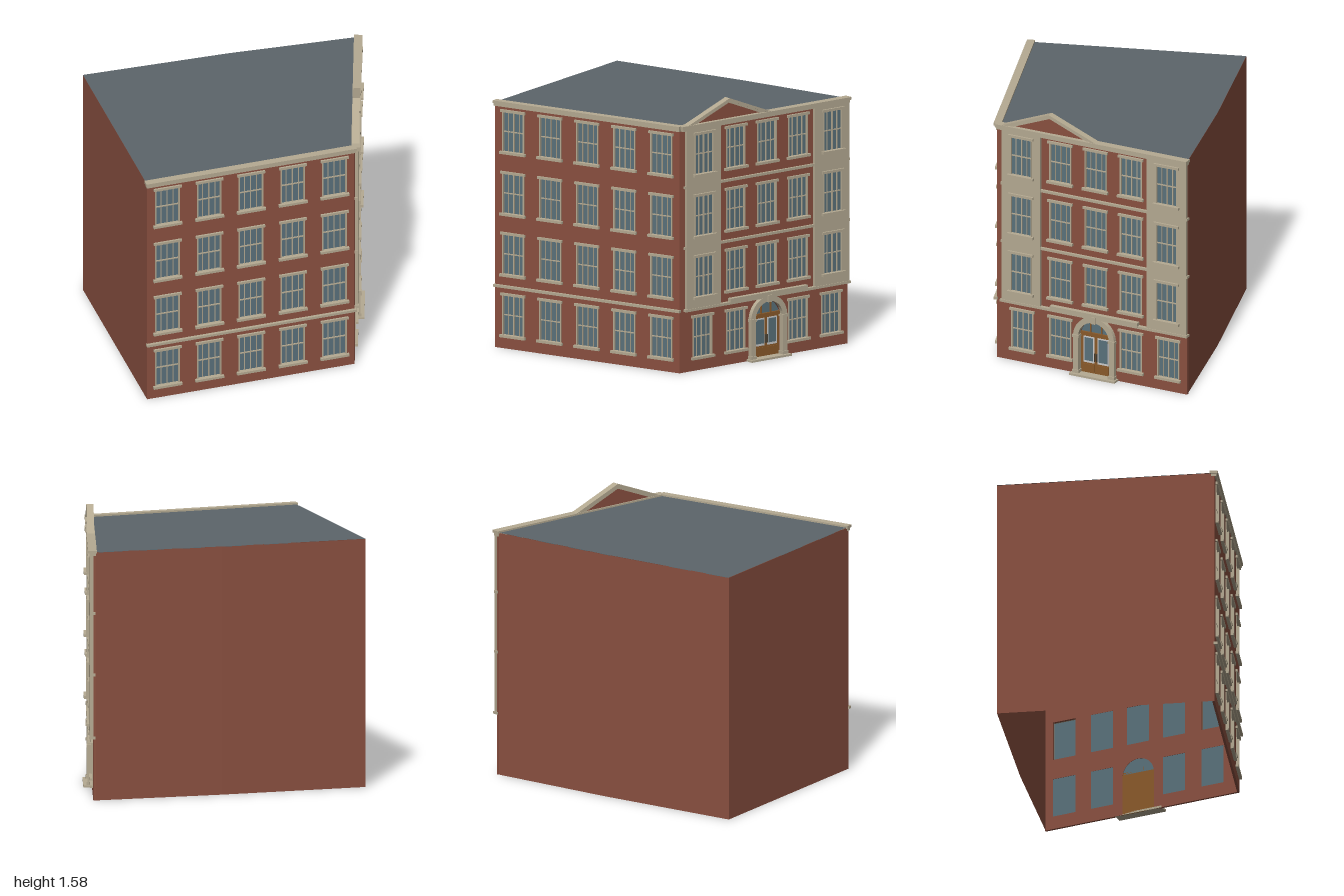
import * as THREE from 'three';

const mat = (color, side = THREE.FrontSide) => new THREE.MeshStandardMaterial({ color, side });
const brick = mat(0x8a5040, THREE.DoubleSide);
const stone = mat(0xb5aa92);
const glass = mat(0x5a717b, THREE.DoubleSide);
const slate = mat(0x5c656a, THREE.DoubleSide);
const wood = mat(0x8a5a2a, THREE.DoubleSide);
const paint = mat(0xd5d8d6);
const iron = mat(0x4a4234);

const TOP = 1.45;
const FLOORS = [0.08, 0.44, 0.8, 1.165];   // window sill heights
const WIN_H = 0.237;

// footprint corners as [x, z]
const A = [-0.99, 0.367], B = [0.195, 0.795], C = [0.97, -0.17], D = [0.27, -0.488], E = [-0.535, -0.815];

function add(parent, name, geometry, material) {
  const mesh = new THREE.Mesh(geometry, material);
  mesh.name = name;
  parent.add(mesh);
  return mesh;
}

// box given by its limits along the wall (u), in height (y) and outward (o)
function box(parent, name, material, u0, u1, y0, y1, o0, o1) {
  const m = add(parent, name, new THREE.BoxGeometry(u1 - u0, y1 - y0, o1 - o0), material);
  m.position.set((u0 + u1) / 2, (y0 + y1) / 2, (o0 + o1) / 2);
  return m;
}

// group whose x runs along the wall from p to q and whose z points outward
function wallFrame(name, p, q) {
  const g = new THREE.Group();
  g.name = name;
  g.position.set(p[0], 0, p[1]);
  g.rotation.y = Math.atan2(p[1] - q[1], q[0] - p[0]);
  g.userData.length = Math.hypot(q[0] - p[0], q[1] - p[1]);
  return g;
}

function rectPath(u0, u1, y0, y1) {
  return new THREE.Path([[u0, y0], [u1, y0], [u1, y1], [u0, y1]].map(p => new THREE.Vector2(...p)));
}

function slab(parent, name, shape, material, o0, o1) {
  const m = add(parent, name, new THREE.ExtrudeGeometry(shape, { depth: o1 - o0, bevelEnabled: false, curveSegments: 12 }), material);
  m.position.z = o0;
  return m;
}

// round-headed opening, traced from the left foot over the arch to the right foot
function archOutline(path, cu, r, spring) {
  path.lineTo(cu - r, 0);
  path.lineTo(cu - r, spring);
  path.absarc(cu, spring, r, Math.PI, 0, true);
  path.lineTo(cu + r, 0);
}

// one window: glass, jambs, glazing bars, lintel and sill
function makeWindow(parent, { u, y, w, o }) {
  const g = new THREE.Group();
  g.name = 'window';
  g.position.set(u, y, o);
  parent.add(g);
  const h = WIN_H, a = w / 2;
  add(g, 'windowGlass', new THREE.PlaneGeometry(w, h), glass).position.set(0, h / 2, -0.012);
  for (const s of [-1, 1]) {
    const e = s * (a - 0.003), b = s * a * 0.5;
    box(g, 'windowJamb', stone, e - 0.004, e + 0.004, 0, h, -0.011, 0.004);
    box(g, 'glazingBar', stone, b - 0.002, b + 0.002, 0, h, -0.011, -0.005);
  }
  box(g, 'windowMullion', stone, -0.003, 0.003, 0, h, -0.011, -0.004);
  box(g, 'windowRail', stone, -a, a, h / 2 - 0.003, h / 2 + 0.003, -0.011, -0.004);
  box(g, 'windowLintel', stone, -a - 0.01, a + 0.01, h - 0.003, h + 0.012, -0.01, 0.012);
  box(g, 'windowSill', stone, -a - 0.013, a + 0.013, -0.013, 0.002, -0.01, 0.018);
}

// brick wall with window holes and, if wanted, a door opening
function facadeWall(g, windows, door) {
  const L = g.userData.length;
  const shape = new THREE.Shape();
  shape.moveTo(0, 0);
  if (door) archOutline(shape, door.u, door.r, door.spring);
  shape.lineTo(L, 0);
  shape.lineTo(L, TOP);
  shape.lineTo(0, TOP);
  for (const { u, y, w } of windows) shape.holes.push(rectPath(u - w / 2, u + w / 2, y, y + WIN_H));
  slab(g, 'brickWall', shape, brick, -0.014, 0);
  windows.forEach(w => makeWindow(g, w));
}

function makeLongFacade() {
  const g = wallFrame('longFacade', A, B), L = g.userData.length;
  const windows = [];
  for (const y of FLOORS) for (let i = 0; i < 5; i++) windows.push({ u: L / 2 + (i - 2) * 0.2533, y, w: 0.148, o: 0 });
  facadeWall(g, windows);
  box(g, 'stringCourse', stone, -0.005, L + 0.008, 0.36, 0.375, -0.005, 0.018);
  box(g, 'lowerCornice', stone, -0.004, L + 0.004, 1.43, 1.446, -0.02, 0.01);
  box(g, 'upperCornice', stone, -0.008, L + 0.008, 1.446, 1.462, -0.028, 0.018);
  return g;
}

function makeEntrance(g, { u, r, spring }) {
  const e = new THREE.Group();
  e.name = 'entrance';
  e.position.x = u;
  g.add(e);
  // stone arch surround
  const R = r + 0.033;
  const ring = new THREE.Shape();
  ring.moveTo(-R, 0);
  archOutline(ring, 0, r, spring);
  ring.lineTo(R, 0);
  ring.lineTo(R, spring);
  ring.absarc(0, spring, R, 0, Math.PI, false);
  slab(e, 'archSurround', ring, stone, -0.01, 0.026);
  for (const s of [-1, 1]) {
    const c = s * (r + 0.0165);
    box(e, 'impost', stone, c - 0.021, c + 0.021, spring - 0.008, spring + 0.008, -0.01, 0.032);
    box(e, 'plinth', stone, c - 0.021, c + 0.021, 0, 0.03, -0.01, 0.032);
  }
  box(e, 'keystone', stone, -0.014, 0.014, spring + r - 0.004, spring + R + 0.004, 0, 0.034);
  box(e, 'doorStep', stone, -R - 0.015, R + 0.015, 0, 0.012, -0.014, 0.05);
  // fanlight and double door
  const fan = new THREE.Shape();
  fan.moveTo(-r, spring);
  fan.absarc(0, spring, r, Math.PI, 0, true);
  add(e, 'fanlight', new THREE.ShapeGeometry(fan), glass).position.z = -0.012;
  for (const x of [-0.035, 0.035]) box(e, 'fanlightBar', wood, x - 0.003, x + 0.003, spring, spring + 0.09, -0.012, -0.004);
  box(e, 'doorPanel', wood, -r, r, 0, spring + 0.012, -0.014, -0.008);
  box(e, 'doorTransom', wood, -r, r, spring + 0.006, spring + 0.026, -0.012, 0);
  for (const s of [-1, 1]) {
    const c = s * 0.046;
    box(e, 'doorLeafFrame', paint, c - 0.036, c + 0.036, 0.075, 0.238, -0.01, -0.005);
    box(e, 'doorGlass', glass, c - 0.028, c + 0.028, 0.088, 0.23, -0.008, -0.003);
    box(e, 'doorKickPanel', wood, c - 0.034, c + 0.034, 0.02, 0.065, -0.01, -0.004);
    box(e, 'doorHandle', iron, s * 0.007 - 0.002, s * 0.007 + 0.002, 0.09, 0.14, -0.008, 0.004);
  }
  // plain panel above the door
  box(e, 'signPanel', stone, -0.285, 0.285, 0.365, 0.395, 0, 0.028);
}

function makePediment(g) {
  const p = new THREE.Group();
  p.name = 'pediment';
  p.position.set(0.35, 1.46, 0);
  g.add(p);
  const W = 0.31, H = 0.123;
  const tri = (w, h) => [new THREE.Vector2(-w, 0), new THREE.Vector2(w, 0), new THREE.Vector2(0, h)];
  slab(p, 'pedimentBrick', new THREE.Shape(tri(W - 0.02, H - 0.015)), brick, -0.012, 0.004);
  // two stepped raking mouldings
  for (const [w, t, o] of [[W - 0.02, 0.02, 0.016], [W, 0.014, 0.026]]) {
    const h = H * w / W, k = 1 - t / h;
    const rake = new THREE.Shape([[-w, 0], [-w * k, 0], [0, h * k], [w * k, 0], [w, 0], [0, h]].map(q => new THREE.Vector2(...q)));
    slab(p, 'rakingCornice', rake, stone, -0.016, o);
  }
}

function makeEntranceFacade() {
  const g = wallFrame('entranceFacade', B, C), L = g.userData.length;
  const columns = [0.167, 0.413, 0.643, 0.873, 1.115];
  const door = { u: 0.642, r: 0.1, spring: 0.24 };
  const windows = [];
  FLOORS.forEach((y, f) => columns.forEach((u, i) => {
    const onPier = f > 0 && (i === 0 || i === 4);
    if (f > 0 || i !== 2) windows.push({ u, y, w: 0.142, o: onPier ? 0.02 : 0 });
  }));
  facadeWall(g, windows, door);
  // stone piers around the outer upper windows
  for (const [u0, u1, c] of [[0.04, 0.29, columns[0]], [0.985, L + 0.002, columns[4]]]) {
    const pier = new THREE.Shape(rectPath(u0, u1, 0.365, 1.44).getPoints());
    for (const y of FLOORS.slice(1)) pier.holes.push(rectPath(c - 0.071, c + 0.071, y, y + WIN_H));
    slab(g, 'stonePier', pier, stone, 0, 0.02);
  }
  for (const y of [0.36, 0.727, 1.087]) box(g, 'stringCourse', stone, 0.03, L + 0.008, y, y + 0.015, -0.012, y < 0.4 ? 0.024 : 0.015);
  box(g, 'lowerCornice', stone, 0.01, L + 0.004, 1.43, 1.446, -0.016, 0.022);
  box(g, 'upperCornice', stone, 0, L + 0.008, 1.446, 1.462, -0.02, 0.03);
  makeEntrance(g, door);
  makePediment(g);
  return g;
}

export function createModel() {
  const model = new THREE.Group();
  model.name = 'cornerBuilding';
  model.add(makeLongFacade(), makeEntranceFacade());

  // plain walls at the back and side
  [[C, D], [D, E], [E, A]].forEach(([p, q]) => {
    const g = wallFrame('plainWall', p, q), L = g.userData.length;
    add(g, 'brickWall', new THREE.PlaneGeometry(L, TOP), brick).position.set(L / 2, TOP / 2, 0);
    model.add(g);
  });

  // flat roof
  const outline = new THREE.Shape([A, B, C, D, E].map(([x, z]) => new THREE.Vector2(x, -z)));
  const roof = add(model, 'flatRoof', new THREE.ShapeGeometry(outline), slate);
  roof.rotation.x = -Math.PI / 2;
  roof.position.y = TOP + 0.002;
  return model;
}
